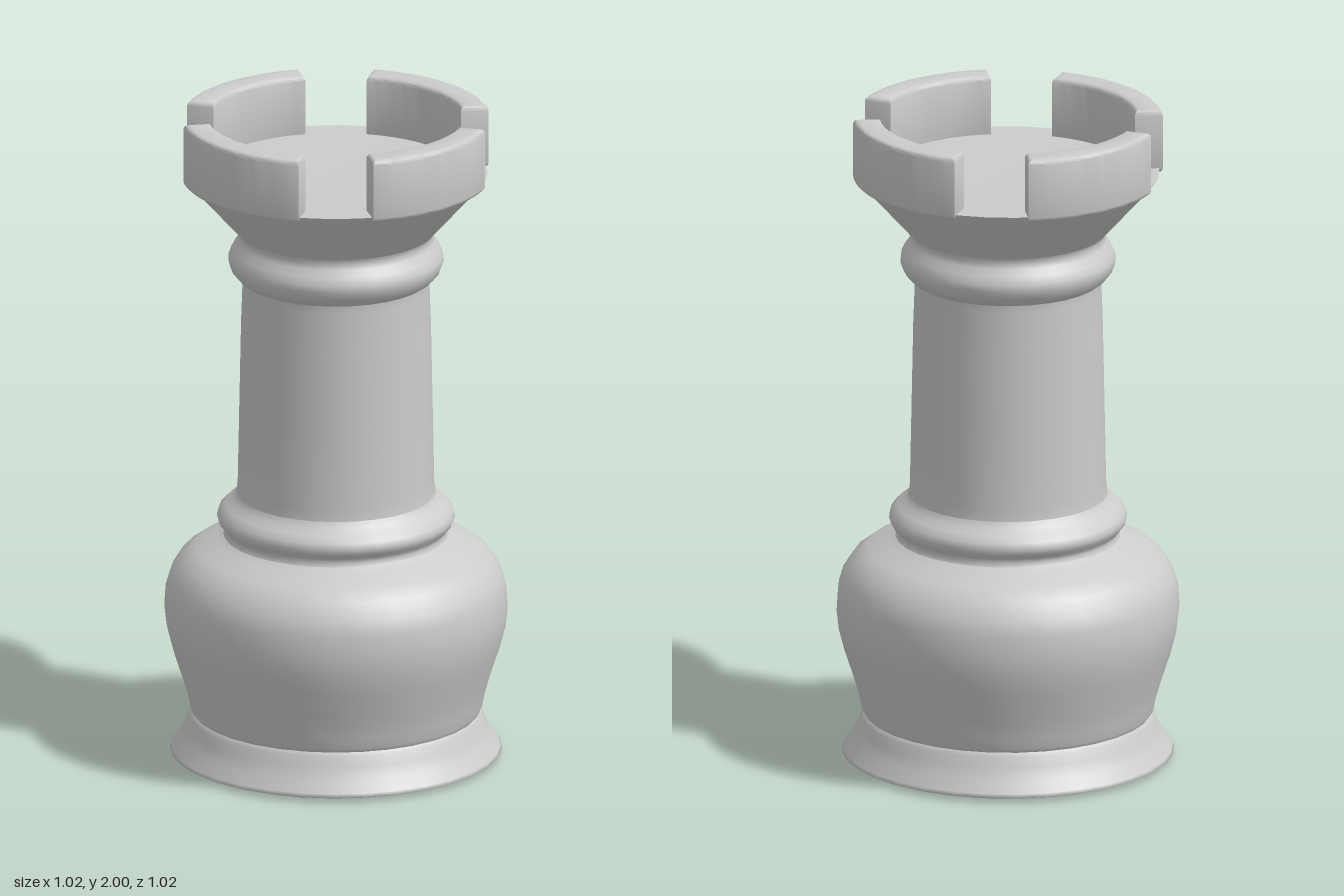
import * as THREE from 'three';
import { toCreasedNormals } from 'three/addons/utils/BufferGeometryUtils.js';

const SIDES = 32;
const material = new THREE.MeshStandardMaterial({ color: 0xcccccc });

// Turned part: smooth lathe from [radius, height] pairs, bottom to top
function turned(name, profile) {
  const points = profile.map(([r, y]) => new THREE.Vector2(r, y));
  const mesh = new THREE.Mesh(new THREE.LatheGeometry(points, SIDES), material);
  mesh.name = name;
  return mesh;
}

// Curved battlement block with softened edges, centred on the +x direction
function merlon(name, halfAngle, turn) {
  const inner = 0.38, outer = 0.463, bottom = 1.8, top = 1.995, bevel = 0.014;
  const shape = new THREE.Shape();
  shape.absarc(0, 0, outer, -halfAngle, halfAngle, false);
  shape.absarc(0, 0, inner, halfAngle, -halfAngle, true);
  shape.closePath();
  const extruded = new THREE.ExtrudeGeometry(shape, {
    depth: top - bottom - 2 * bevel,
    bevelThickness: bevel, bevelSize: bevel, bevelOffset: -bevel, bevelSegments: 3,
    curveSegments: 12,
  });
  extruded.rotateX(-Math.PI / 2);
  extruded.translate(0, bottom + bevel, 0);
  extruded.rotateY(turn);
  const mesh = new THREE.Mesh(toCreasedNormals(extruded, 0.65), material);
  mesh.name = name;
  return mesh;
}

export function createModel() {
  const group = new THREE.Group();
  group.name = 'rook';

  // Underside and flared foot
  group.add(turned('underside', [[0, 0], [0.3, 0.002], [0.485, 0.01]]));
  group.add(turned('foot', [
    [0.485, 0.01], [0.495, 0.014], [0.49, 0.025], [0.465, 0.06], [0.447, 0.095], [0.438, 0.125], [0.428, 0.135],
  ]));

  // Bulbous body
  group.add(turned('body', [
    [0.428, 0.135], [0.436, 0.148], [0.442, 0.18], [0.457, 0.235], [0.488, 0.33], [0.505, 0.395],
    [0.512, 0.455], [0.508, 0.52], [0.495, 0.565], [0.465, 0.612], [0.42, 0.645], [0.36, 0.67], [0.336, 0.685],
  ]));

  // Lower collar
  group.add(turned('lowerCollar', [
    [0.336, 0.685], [0.33, 0.697], [0.335, 0.71], [0.349, 0.725], [0.355, 0.742], [0.35, 0.762],
    [0.33, 0.782], [0.307, 0.797], [0.297, 0.815],
  ]));

  // Tapered column
  group.add(turned('column', [
    [0.297, 0.815], [0.293, 0.85], [0.288, 1.1], [0.283, 1.35], [0.279, 1.46], [0.281, 1.485],
  ]));

  // Upper collar
  group.add(turned('upperCollar', [
    [0.281, 1.485], [0.295, 1.495], [0.312, 1.515], [0.321, 1.54], [0.32, 1.56], [0.309, 1.583],
    [0.294, 1.603], [0.288, 1.62], [0.295, 1.635],
  ]));

  // Flaring head and its flat floor
  group.add(turned('head', [
    [0.295, 1.635], [0.34, 1.685], [0.39, 1.742], [0.425, 1.78], [0.442, 1.8], [0.452, 1.815],
  ]));
  group.add(turned('headFloor', [[0.452, 1.815], [0.3, 1.813], [0, 1.813]]));

  // Four battlements; the left and right ones are slightly wider
  ['left', 'back', 'right', 'front'].forEach((side, i) => {
    const halfAngle = THREE.MathUtils.degToRad(i % 2 ? 29.8 : 32.4);
    group.add(merlon(side + 'Merlon', halfAngle, i * Math.PI / 2));
  });

  return group;
}
